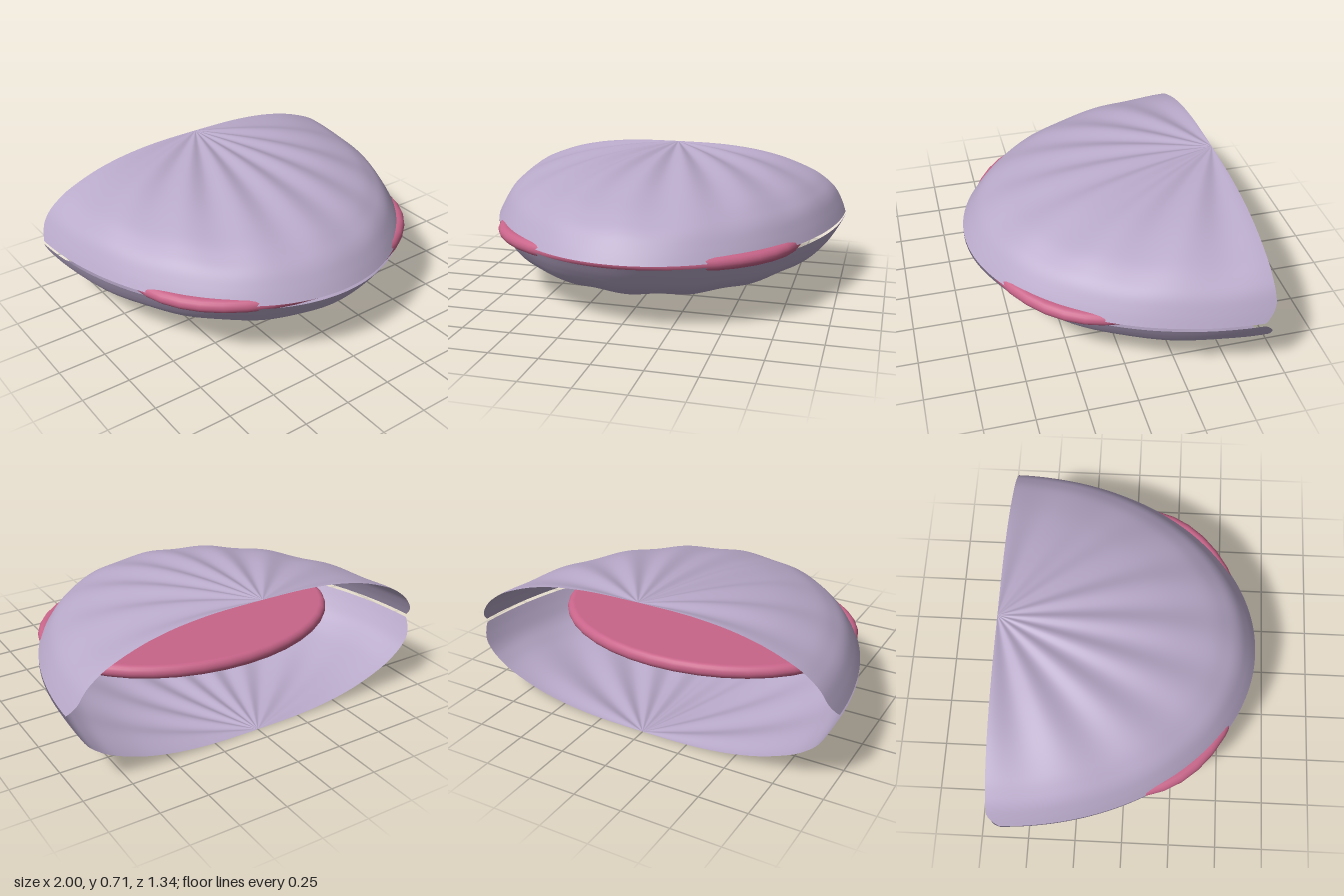
import * as THREE from 'three';

const shellMat = new THREE.MeshStandardMaterial({ color: 0xb8a9c9, side: THREE.DoubleSide });
shellMat.name = 'lilac shell';
const fleshMat = new THREE.MeshStandardMaterial({ color: 0xc9658a });
fleshMat.name = 'pink flesh';

const BACK = -0.67, DEPTH = 1.34, RIBS = 16;

// Hinge-to-rim profile: x is the share of the radius, y the height over the rim
const profile = new THREE.SplineCurve([
  [0, 0.347], [0.2, 0.345], [0.35, 0.336], [0.5, 0.316], [0.65, 0.28],
  [0.8, 0.222], [0.88, 0.172], [0.93, 0.125], [0.97, 0.06], [1, 0],
].map(([x, y]) => new THREE.Vector2(x, y)));

// Half dome fanning out from the hinge, with ribs that fade at hinge and rim
function shellHalf(name, rimY, up) {
  const rows = 48, cols = 160, pos = [], index = [];
  for (let i = 0; i <= rows; i++) {
    const p = profile.getPoint(i / rows);
    const t = Math.min(1, Math.max(0, p.x));
    // rounded back corner close to the rim
    const start = 0.045 * Math.max(0, (t - 0.95) / 0.05) ** 2;
    for (let j = 0; j <= cols; j++) {
      const a = start + (Math.PI - 2 * start) * j / cols;
      const rib = 0.011 * Math.sin(Math.PI * t) * (Math.cos(RIBS * a) - 1) * 0.9;
      pos.push(t * Math.cos(a), rimY + up * (p.y + rib), BACK + DEPTH * t * Math.sin(a));
    }
  }
  for (let i = 0; i < rows; i++) {
    for (let j = 0; j < cols; j++) {
      const a = i * (cols + 1) + j, b = a + 1, c = a + cols + 1, d = c + 1;
      if (up > 0) index.push(a, d, c, a, b, d);
      else index.push(a, c, d, a, d, b);
    }
  }
  const geo = new THREE.BufferGeometry();
  geo.setAttribute('position', new THREE.Float32BufferAttribute(pos, 3));
  geo.setIndex(index);
  geo.computeVertexNormals();
  const mesh = new THREE.Mesh(geo, shellMat);
  mesh.name = name;
  return mesh;
}

// Flat oval body with a rounded edge
function makeBody() {
  const h = 0.035, edge = 0.05, pts = [new THREE.Vector2(0, -h)];
  for (let i = 0; i <= 10; i++) {
    const a = -Math.PI / 2 + Math.PI * i / 10;
    pts.push(new THREE.Vector2(1 - edge + edge * Math.cos(a), h * Math.sin(a)));
  }
  pts.push(new THREE.Vector2(0, h));
  const geo = new THREE.LatheGeometry(pts, 40);
  geo.scale(0.82, 1, 0.61);
  const mesh = new THREE.Mesh(geo, fleshMat);
  mesh.name = 'body';
  mesh.position.set(0, 0.361, 0.022);
  return mesh;
}

export function createModel() {
  const group = new THREE.Group();
  group.name = 'clam';
  group.add(
    shellHalf('upperShell', 0.37, 1),
    shellHalf('lowerShell', 0.352, -1),
    makeBody(),
  );
  return group;
}
